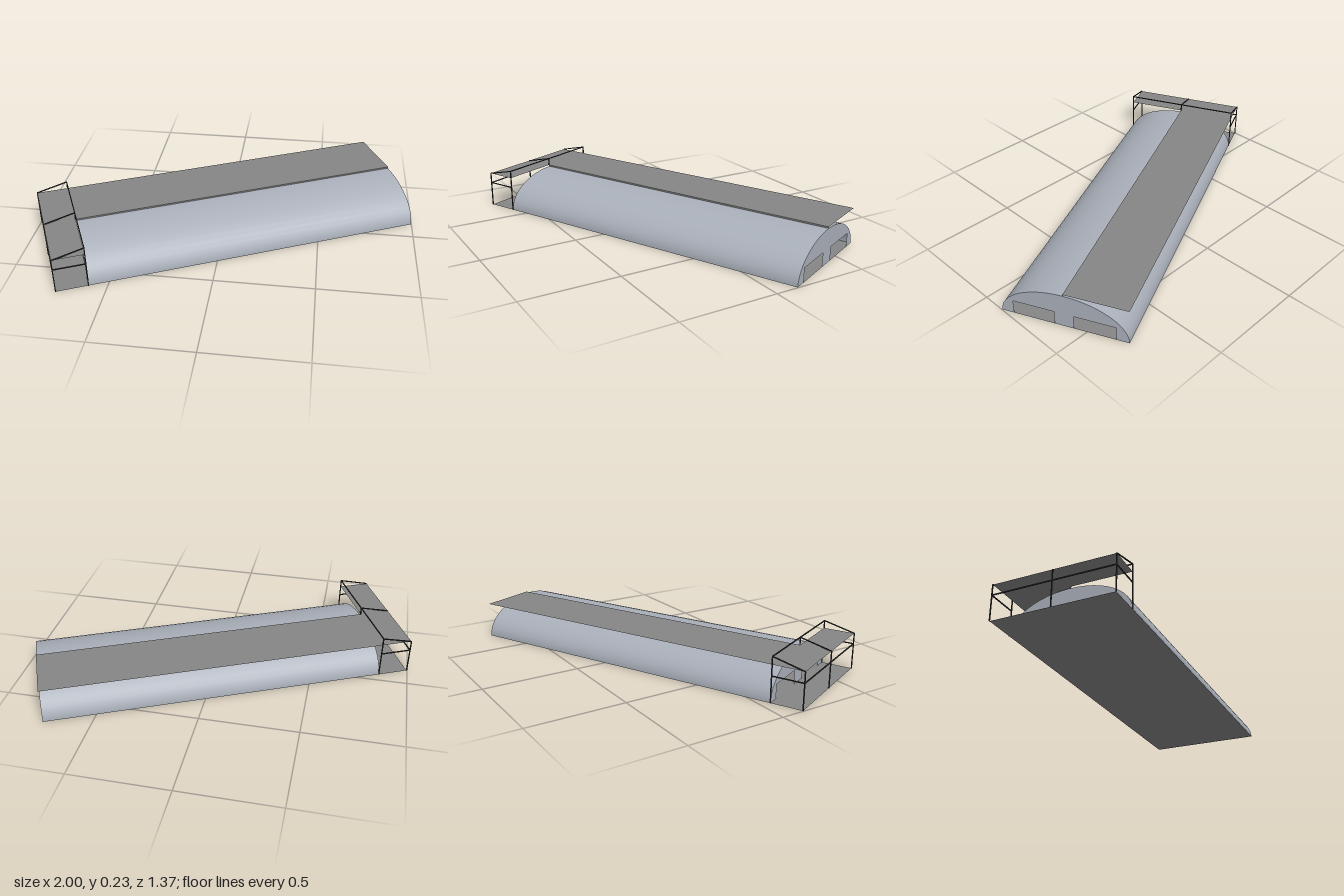
import * as THREE from 'three';

const U0 = -0.955, U1 = 0.955;   // ends of the base along its length
const UV = -0.796;               // where the vault begins, after the porch
const W = 0.311;                 // half width
const VAULT = 0.179, DECK = 0.187, RAIL = 0.226, MID = 0.132;

function material(name, color) {
  const m = new THREE.MeshStandardMaterial({ color, side: THREE.DoubleSide });
  m.name = name;
  return m;
}

export function createModel() {
  const shell = material('shellBlueGrey', 0xaab0ba);
  const grey = material('slabGrey', 0x868686);
  const dark = material('railDark', 0x333333);
  const model = new THREE.Group();
  model.name = 'vaultedHall';

  function add(name, geometry, mat) {
    const mesh = new THREE.Mesh(geometry, mat);
    mesh.name = name;
    model.add(mesh);
    return mesh;
  }

  // Horizontal sheet between two corners
  function sheet(name, x0, x1, z0, z1, y) {
    const g = new THREE.PlaneGeometry(x1 - x0, z1 - z0).rotateX(-Math.PI / 2);
    add(name, g, grey).position.set((x0 + x1) / 2, y, (z0 + z1) / 2);
  }

  // Thin square bar from a to b
  function bar(name, a, b, t = 0.005) {
    const p = new THREE.Vector3(...a), q = new THREE.Vector3(...b);
    const mesh = add(name, new THREE.BoxGeometry(t, t, p.distanceTo(q)), dark);
    mesh.position.copy(p).add(q).multiplyScalar(0.5);
    mesh.lookAt(q);
  }

  // Floor and L-shaped upper deck
  sheet('floor', U0, U1, -W, W, 0);
  sheet('porchRoof', U0, UV, -W, W, DECK);
  sheet('deck', UV, U1, -W, 0, DECK);

  // Narrow upstand joining the crown of the vault to the deck
  const upstand = new THREE.PlaneGeometry(U1 - UV, DECK - VAULT);
  add('deckUpstand', upstand, grey).position.set((UV + U1) / 2, (DECK + VAULT) / 2, 0);

  // Hollow elliptical vault
  const vault = new THREE.CylinderGeometry(1, 1, U1 - UV, 24, 1, true, 0, Math.PI)
    .rotateZ(Math.PI / 2).scale(1, VAULT, W);
  add('vault', vault, shell).position.x = (UV + U1) / 2;

  // End walls, each with two door openings at the floor
  const wall = new THREE.Shape();
  wall.moveTo(-W, 0);
  for (const [a, b] of [[-0.25, -0.047], [0.047, 0.25]]) {
    wall.lineTo(a, 0);
    wall.lineTo(a, 0.072);
    wall.lineTo(b, 0.072);
    wall.lineTo(b, 0);
  }
  wall.lineTo(W, 0);
  wall.absellipse(0, 0, W, VAULT, 0, Math.PI, false, 0);
  for (const [name, x, turn] of [['porchEndWall', UV, -1], ['farEndWall', U1, 1]]) {
    const g = new THREE.ShapeGeometry(wall, 12).rotateY(turn * Math.PI / 2);
    add(name, g, shell).position.x = x;
  }

  // Porch frame: posts, sloping braces and rails
  for (const z of [-W, 0, W]) {
    bar('outerPost', [U0, 0, z], [U0, DECK, z]);
    bar('innerPost', [UV, z === 0 ? DECK : 0, z], [UV, RAIL, z]);
    bar('brace', [U0, DECK, z], [UV, RAIL, z]);
    if (z !== 0) bar('sideRail', [U0, MID, z], [UV, MID, z]);
  }
  bar('endRail', [U0, MID, -W], [U0, MID, W]);
  bar('topRail', [UV, RAIL, -W], [UV, RAIL, W]);

  // The whole building stands at an angle
  model.rotation.y = 0.432;
  const root = new THREE.Group();
  root.name = 'model';
  root.add(model);
  return root;
}
